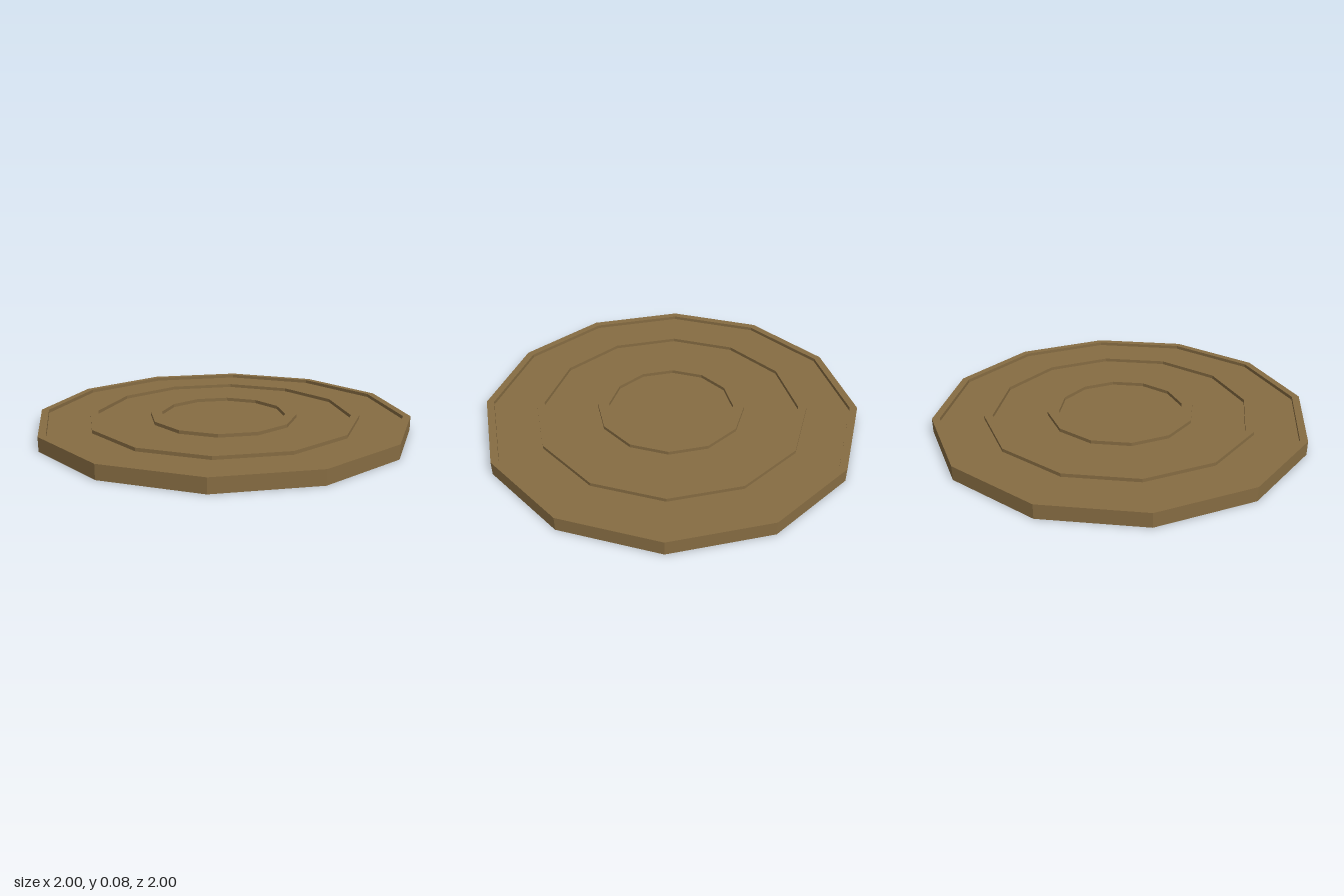
import * as THREE from 'three';

const SIDES = 12;
const TOP = 0.075;   // top of the rim and ridges
const FLOOR = 0.057; // recessed surface between them

export function createModel() {
  const group = new THREE.Group();
  group.name = 'roundPlatform';
  const material = new THREE.MeshStandardMaterial({ color: 0x866c42, flatShading: true });

  // Profile: underside, outer wall, then each raised ring from the rim inward
  const rings = [[1, 0.96], [0.73, 0.685], [0.395, 0.335]];
  const profile = [new THREE.Vector2(0, 0), new THREE.Vector2(1, 0)];
  rings.forEach(([outer, inner], i) => {
    if (i > 0) profile.push(new THREE.Vector2(outer, FLOOR));
    profile.push(
      new THREE.Vector2(outer, TOP),
      new THREE.Vector2(inner, TOP),
      new THREE.Vector2(inner, FLOOR)
    );
  });
  profile.push(new THREE.Vector2(0, FLOOR));

  // Twelve-sided disc with concentric ridges
  const disc = new THREE.Mesh(new THREE.LatheGeometry(profile, SIDES), material);
  disc.name = 'ridgedDisc';
  group.add(disc);
  return group;
}
